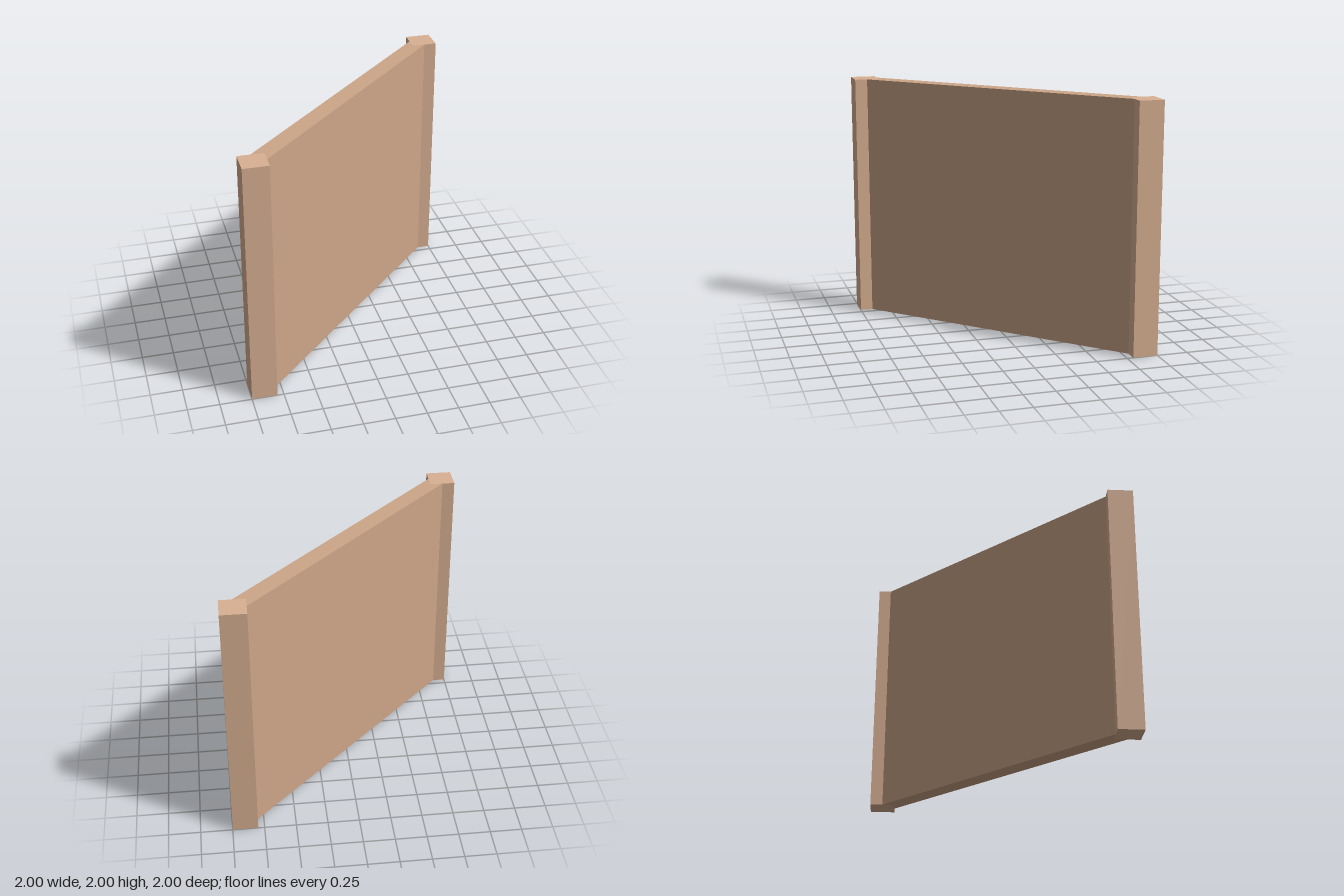
import * as THREE from 'three';

const HEIGHT = 2;
const POST = 0.2;

export function createModel() {
  const group = new THREE.Group();
  const postMaterial = new THREE.MeshStandardMaterial({ color: 0xd9b092 });
  const panelMaterial = new THREE.MeshStandardMaterial({ color: 0xcda688 });

  // Square posts at two opposite corners
  for (const side of [-1, 1]) {
    const post = new THREE.Mesh(new THREE.BoxGeometry(POST, HEIGHT, POST), postMaterial);
    post.name = side > 0 ? 'leftBackPost' : 'rightFrontPost';
    post.position.set(side * 0.9, HEIGHT / 2, -side * 0.9);
    group.add(post);
  }

  // Diagonal wall panel, notched at both ends to fit around the post corners
  const plan = new THREE.Shape([
    [-0.8, -0.9], [0.9, 0.8], [0.8, 0.8],
    [0.8, 0.9], [-0.9, -0.8], [-0.8, -0.8],
  ].map(([x, y]) => new THREE.Vector2(x, y)));
  const geometry = new THREE.ExtrudeGeometry(plan, { depth: HEIGHT, bevelEnabled: false });
  geometry.rotateX(-Math.PI / 2);
  const panel = new THREE.Mesh(geometry, panelMaterial);
  panel.name = 'wallPanel';
  group.add(panel);

  return group;
}
